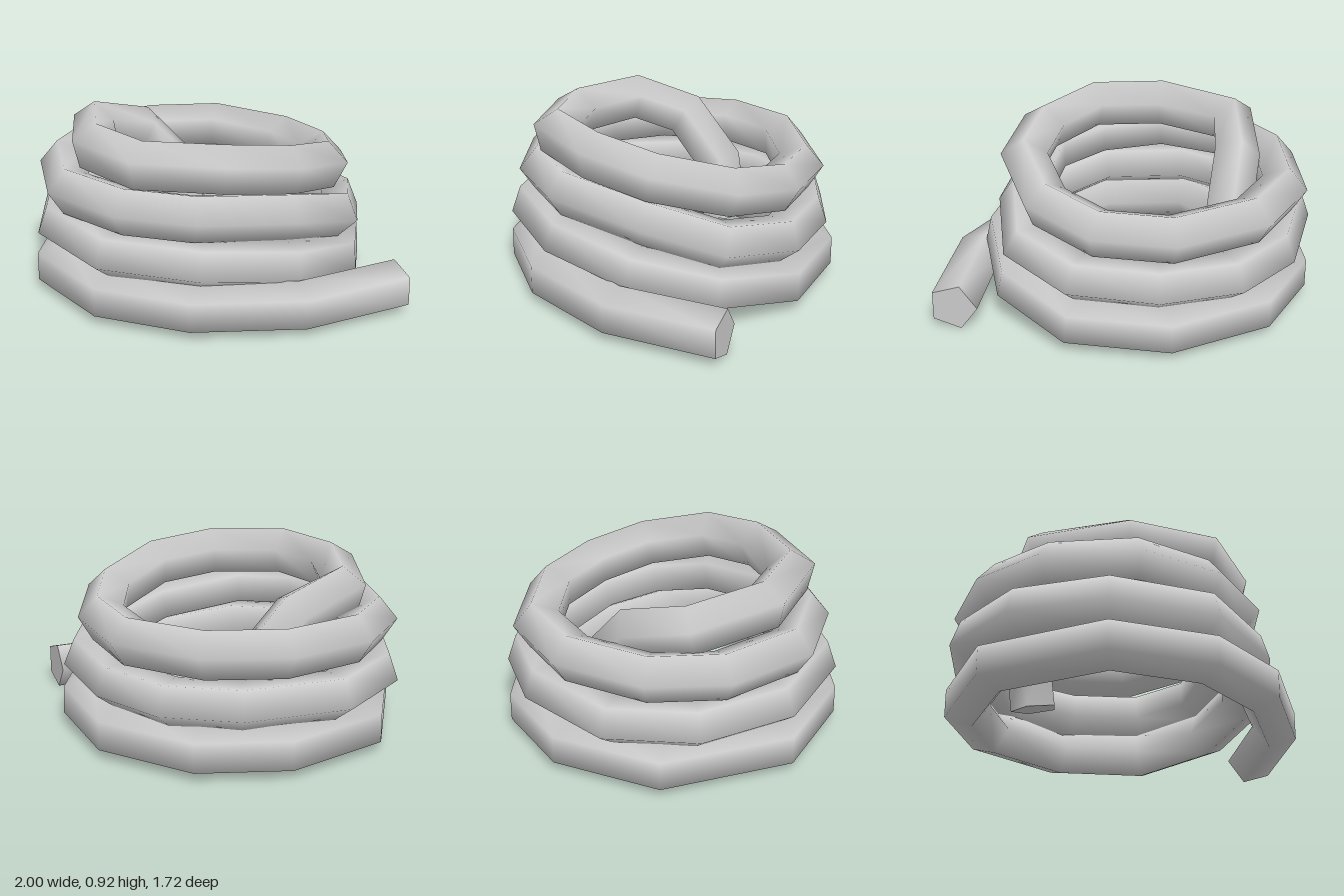
import * as THREE from 'three';

const SIDES = 5;
const RADIUS = 0.128;

// Centre line of the rope, [x, y, z], from the loose end up to the tucked tail
const PATH = [
  // loose end and ground coil
  [0.897, 0.125, -0.52], [0.8, 0.125, 0.05], [0.505, 0.125, 0.5], [0.115, 0.125, 0.75],
  [-0.37, 0.125, 0.752], [-0.82, 0.125, 0.325], [-0.85, 0.125, -0.19], [-0.64, 0.125, -0.55],
  [-0.19, 0.125, -0.755], [0.275, 0.135, -0.68],
  // second coil
  [0.57, 0.2, -0.39], [0.64, 0.28, 0], [0.475, 0.335, 0.425], [0.12, 0.35, 0.725],
  [-0.365, 0.355, 0.725], [-0.73, 0.355, 0.47], [-0.88, 0.35, 0.09], [-0.745, 0.35, -0.37],
  [-0.5, 0.35, -0.625], [-0.14, 0.35, -0.71], [0.26, 0.37, -0.655],
  // third coil
  [0.515, 0.42, -0.42], [0.545, 0.51, -0.05], [0.42, 0.57, 0.42], [0.155, 0.58, 0.65],
  [-0.23, 0.585, 0.735], [-0.61, 0.59, 0.55], [-0.8, 0.595, 0.25], [-0.81, 0.6, -0.17],
  [-0.615, 0.6, -0.49], [-0.21, 0.59, -0.665],
  // top coil
  [0.15, 0.605, -0.62], [0.415, 0.66, -0.42], [0.53, 0.74, -0.07], [0.435, 0.785, 0.26],
  [0.17, 0.795, 0.565], [-0.22, 0.79, 0.59], [-0.59, 0.775, 0.365],
  // tail dropping inside the coils
  [-0.585, 0.695, 0.06], [-0.53, 0.46, -0.145], [-0.475, 0.15, -0.2],
].map((p) => new THREE.Vector3(...p));

// Five-sided tube that bends only at the path points, with flat end caps
function ropeGeometry(path) {
  const last = path.length - 1;
  const positions = [];
  const index = [];

  const tangents = path.map((p, i) => {
    const into = p.clone().sub(path[Math.max(i - 1, 0)]).normalize();
    const out = path[Math.min(i + 1, last)].clone().sub(p).normalize();
    return into.add(out).normalize();
  });

  // the cross-section is carried along without twist, so it slowly rolls up the coils
  const inward = tangents[0].clone().cross(new THREE.Vector3(0, 1, 0)).normalize();
  const turn = new THREE.Quaternion();
  const rings = path.map((p, i) => {
    const tangent = tangents[i];
    inward.applyQuaternion(turn.setFromUnitVectors(tangents[Math.max(i - 1, 0)], tangent));
    const normal = inward.clone().cross(tangent);
    return Array.from({ length: SIDES }, (_, j) => {
      const a = (j / SIDES) * Math.PI * 2;
      return p.clone()
        .addScaledVector(inward, RADIUS * Math.cos(a))
        .addScaledVector(normal, RADIUS * Math.sin(a));
    });
  });

  // rope wall
  rings.forEach((ring) => ring.forEach((v) => positions.push(v.x, v.y, v.z)));
  for (let i = 0; i < last; i++) {
    for (let j = 0; j < SIDES; j++) {
      const a = i * SIDES + j;
      const b = i * SIDES + ((j + 1) % SIDES);
      index.push(a, a + SIDES, b, b, a + SIDES, b + SIDES);
    }
  }

  // end caps use their own corners so their edges stay sharp
  for (const ring of [rings[0], [...rings[last]].reverse()]) {
    const base = positions.length / 3;
    ring.forEach((v) => positions.push(v.x, v.y, v.z));
    for (let j = 1; j < SIDES - 1; j++) index.push(base, base + j, base + j + 1);
  }

  const geometry = new THREE.BufferGeometry();
  geometry.setAttribute('position', new THREE.Float32BufferAttribute(positions, 3));
  geometry.setIndex(index);
  geometry.computeVertexNormals();
  return geometry;
}

export function createModel() {
  const group = new THREE.Group();
  group.name = 'ropeCoil';
  const rope = new THREE.Mesh(
    ropeGeometry(PATH),
    new THREE.MeshStandardMaterial({ color: 0xcccccc })
  );
  rope.name = 'rope';
  group.add(rope);
  return group;
}
